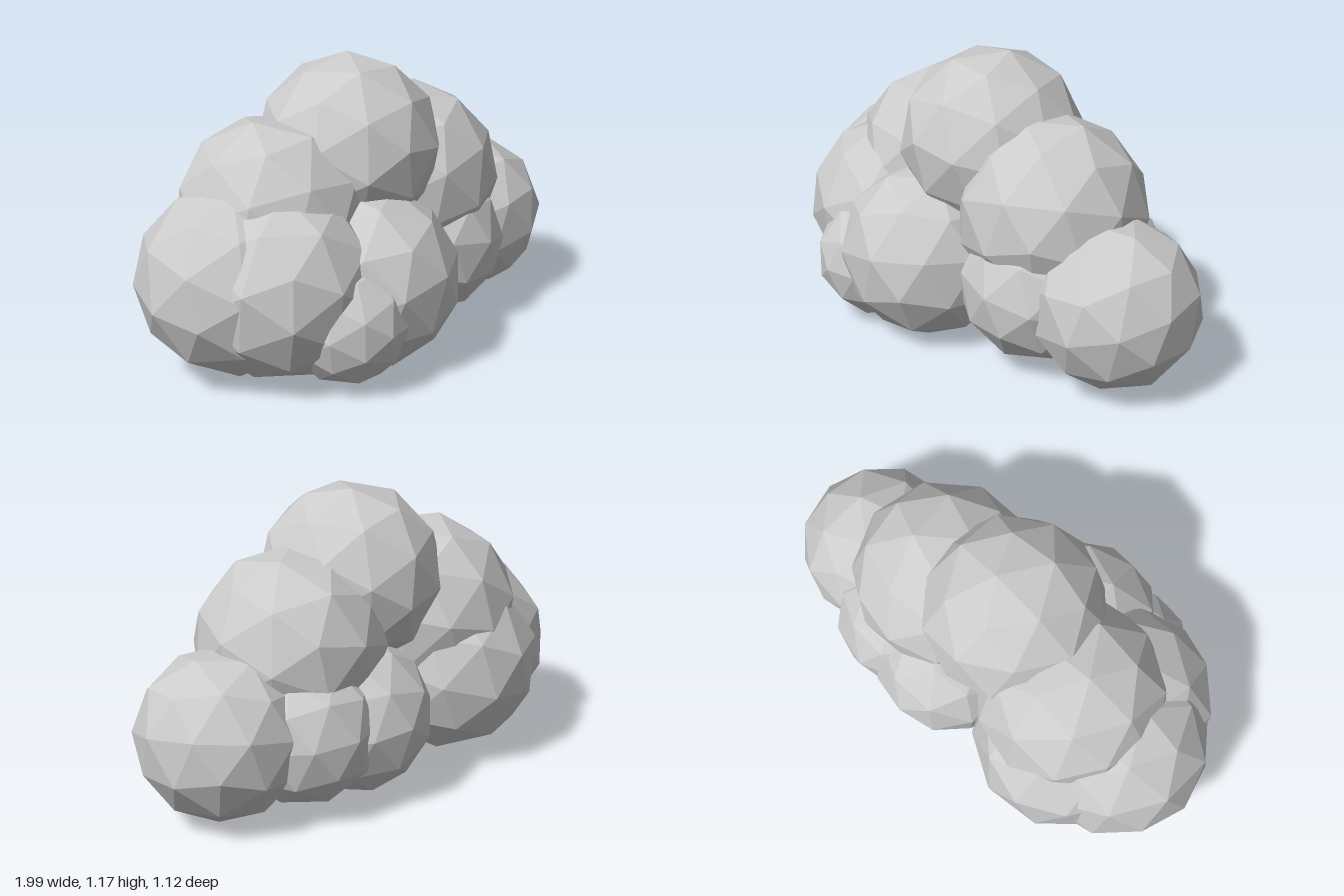
import * as THREE from 'three';

// Low-poly cloud: overlapping faceted puffs [name, x, y, z, radius]
const PUFFS = [
  ['topPuff', -0.045, 0.815, -0.04, 0.37],
  ['upperRightSidePuff', 0.30, 0.62, -0.08, 0.38],
  ['upperLeftSidePuff', -0.40, 0.61, -0.08, 0.385],
  ['rightEndPuff', 0.665, 0.355, -0.11, 0.335],
  ['leftEndPuff', -0.625, 0.405, -0.05, 0.38],
  ['backLeftPuff', -0.46, 0.39, -0.17, 0.375],
  ['frontPuff', -0.15, 0.355, 0.20, 0.36],
  ['smallFrontPuff', -0.36, 0.27, 0.31, 0.25],
  ['frontMiddlePuff', 0.34, 0.35, 0.02, 0.31],
  ['backPuff', 0.12, 0.33, -0.25, 0.31],
  ['backMiddlePuff', 0.37, 0.34, -0.24, 0.30],
  ['frontLeftPuff', -0.51, 0.40, 0.10, 0.375],
];

export function createModel() {
  const group = new THREE.Group();
  group.name = 'cloud';
  const material = new THREE.MeshStandardMaterial({ color: 0xcccccc, flatShading: true });

  PUFFS.forEach(([name, x, y, z, r], i) => {
    const puff = new THREE.Mesh(new THREE.IcosahedronGeometry(r, 1), material);
    puff.name = name;
    puff.position.set(x, y, z);
    // Turn each puff differently so the facets do not line up
    puff.rotation.set(i * 1.3 + 0.4, i * 2.1, i * 0.7 + 0.2, 'ZYX');
    group.add(puff);
  });
  return group;
}
